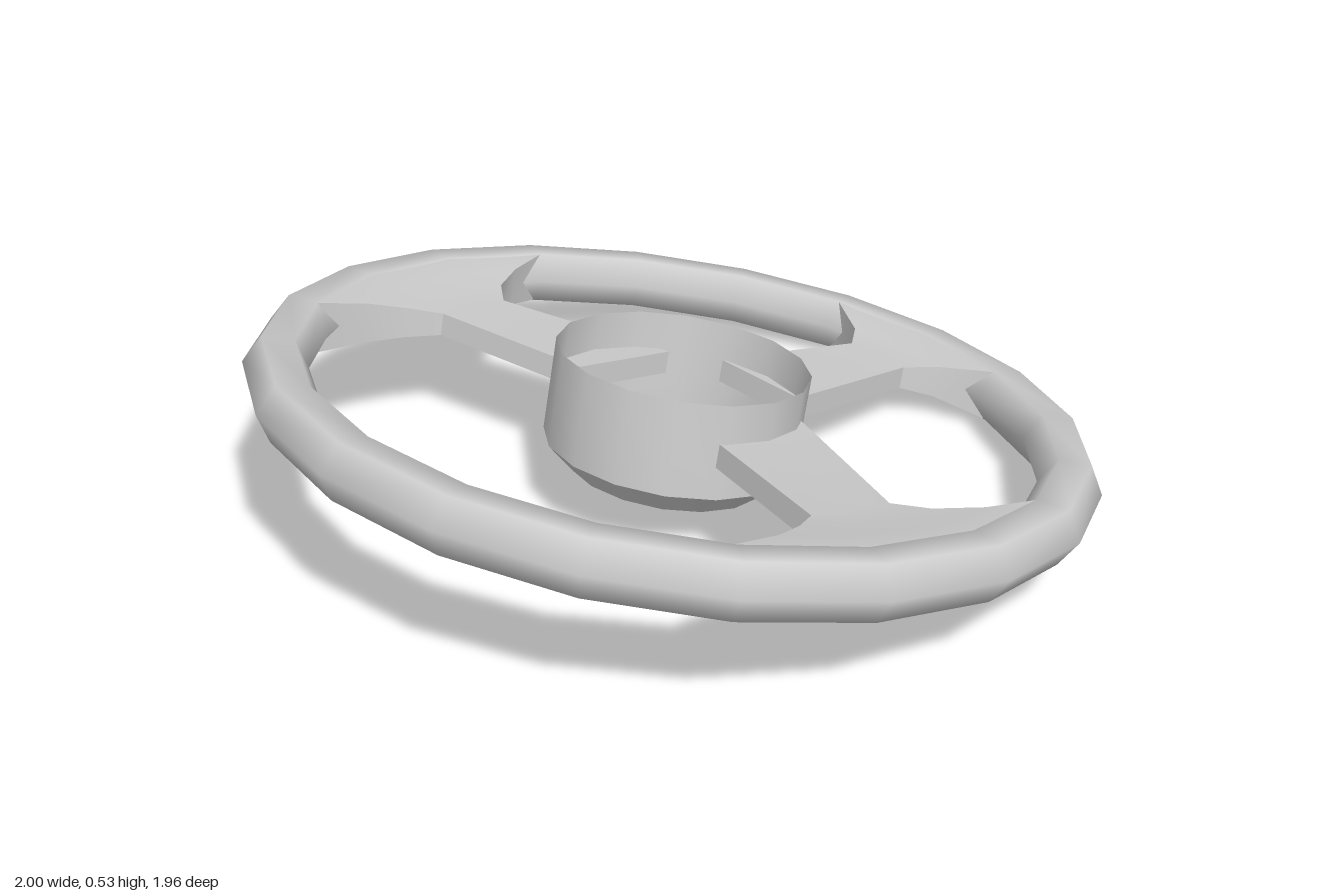
import * as THREE from 'three';
import { toCreasedNormals } from 'three/addons/utils/BufferGeometryUtils.js';

// Slab running outward along +x. Each station: [back x, back z, front x, front z, half thickness].
function spokeGeometry(stations) {
  const cols = 8, pos = [];
  const point = (i, j, side) => {
    const [ax, az, bx, bz, h] = stations[i], t = j / cols;
    // Straight sections near the hub, arcs concentric with the rim further out
    if (i < 2) return [ax + (bx - ax) * t, side * h, az + (bz - az) * t];
    const r = THREE.MathUtils.lerp(Math.hypot(ax, az), Math.hypot(bx, bz), t);
    const a = THREE.MathUtils.lerp(Math.atan2(az, ax), Math.atan2(bz, bx), t);
    return [r * Math.cos(a), side * h, r * Math.sin(a)];
  };
  const quad = (a, b, c, d) => pos.push(...a, ...b, ...c, ...a, ...c, ...d);
  const last = stations.length - 1;
  for (let i = 0; i < last; i++) {
    for (let j = 0; j < cols; j++) {
      quad(point(i, j, 1), point(i, j + 1, 1), point(i + 1, j + 1, 1), point(i + 1, j, 1));
      quad(point(i, j, -1), point(i + 1, j, -1), point(i + 1, j + 1, -1), point(i, j + 1, -1));
    }
    // Side walls
    quad(point(i, 0, -1), point(i, 0, 1), point(i + 1, 0, 1), point(i + 1, 0, -1));
    quad(point(i, cols, -1), point(i + 1, cols, -1), point(i + 1, cols, 1), point(i, cols, 1));
  }
  // End caps
  for (let j = 0; j < cols; j++) {
    quad(point(0, j, -1), point(0, j + 1, -1), point(0, j + 1, 1), point(0, j, 1));
    quad(point(last, j, -1), point(last, j, 1), point(last, j + 1, 1), point(last, j + 1, -1));
  }
  const g = new THREE.BufferGeometry();
  g.setAttribute('position', new THREE.Float32BufferAttribute(pos, 3));
  return toCreasedNormals(g, 0.6);
}

export function createModel() {
  const grey = new THREE.MeshStandardMaterial({ color: 0xcccccc, side: THREE.DoubleSide });
  grey.name = 'light grey';
  const model = new THREE.Group();
  model.name = 'steeringWheel';
  const wheel = new THREE.Group();
  wheel.name = 'tiltedWheel';
  wheel.position.y = 0.267;
  wheel.rotation.x = -0.21;
  model.add(wheel);
  const add = (name, geometry) => {
    const mesh = new THREE.Mesh(geometry, grey);
    mesh.name = name;
    wheel.add(mesh);
    return mesh;
  };

  // Rim with a hexagonal section
  add('rim', new THREE.TorusGeometry(0.925, 0.075, 6, 20).rotateX(Math.PI / 2));

  // Open, thin-walled hub cup with a chamfered base
  const profile = [[0, -0.167], [0.235, -0.167], [0.3, -0.107], [0.3, 0.12]]
    .map(([x, y]) => new THREE.Vector2(x, y));
  add('hub', toCreasedNormals(new THREE.LatheGeometry(profile, 16), 0.6));

  // Side spokes, flaring into the rim
  const side = spokeGeometry([
    [0.22, -0.175, 0.22, 0.115, 0.028],
    [0.66, -0.005, 0.63, 0.21, 0.028],
    [0.735, -0.055, 0.67, 0.29, 0.038],
    [0.8, -0.155, 0.7, 0.385, 0.05],
    [0.845, -0.275, 0.712, 0.525, 0.064],
    [0.875, -0.285, 0.74, 0.545, 0.064],
  ]);
  add('leftSpoke', side);
  add('rightSpoke', side).scale.x = -1;

  // Far spoke, symmetrical
  const far = [[0.27, 0.135, 0.028], [0.71, 0.09, 0.028], [0.78, 0.145, 0.04],
    [0.845, 0.27, 0.064], [0.875, 0.28, 0.064]];
  add('farSpoke', spokeGeometry(far.map(([x, w, h]) => [x, -w, x, w, h]))).rotation.y = Math.PI / 2;

  return model;
}
